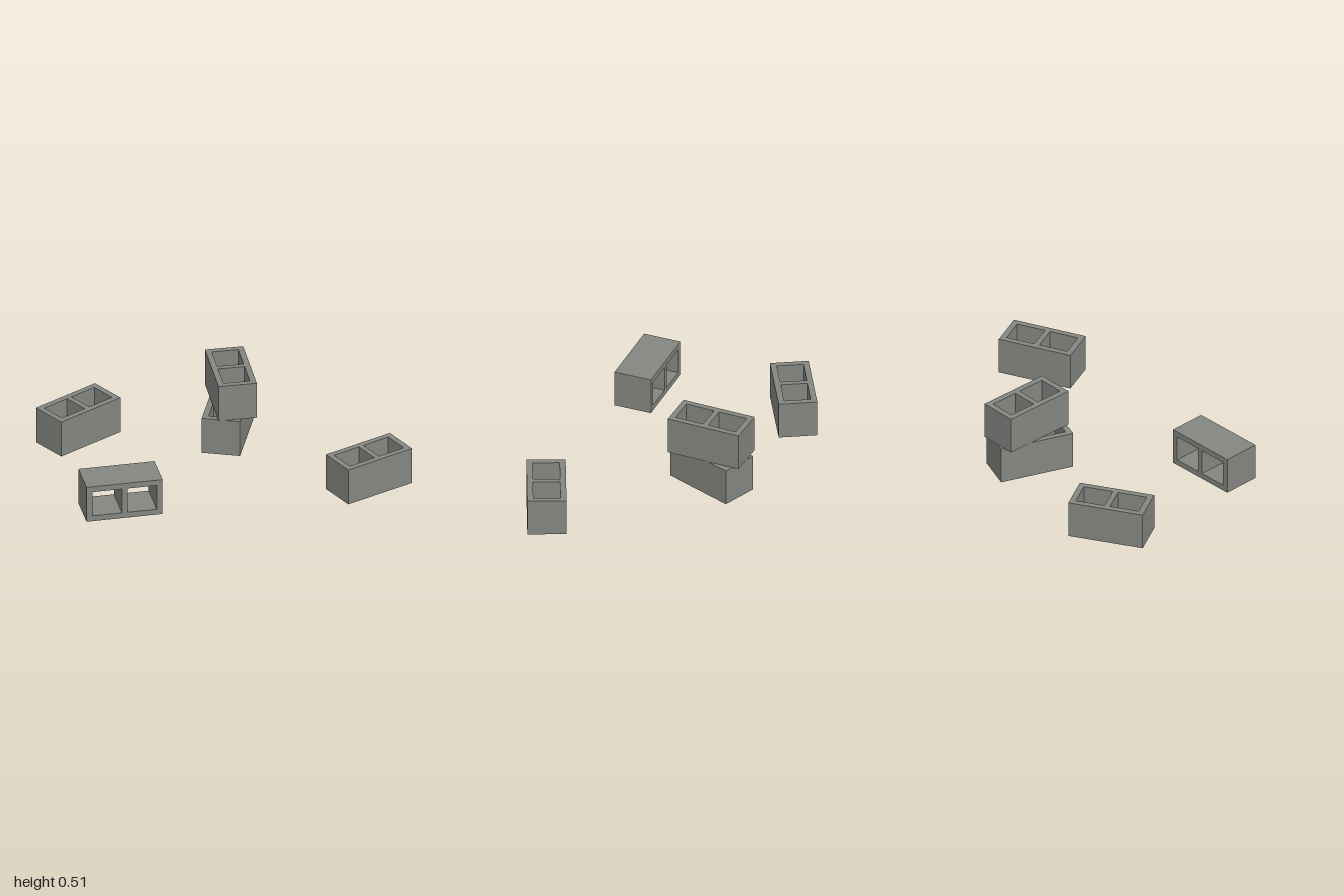
import * as THREE from 'three';

const WIDTH = 0.253, LENGTH = 0.503, WALL = 0.039, WEB = 0.036;

function rectangle(target, x0, y0, x1, y1) {
  target.moveTo(x0, y0);
  target.lineTo(x1, y0);
  target.lineTo(x1, y1);
  target.lineTo(x0, y1);
  target.closePath();
  return target;
}

// Hollow block, centred on the origin: length along z, two cells open along y
function blockGeometry() {
  const w = WIDTH / 2, l = LENGTH / 2;
  const shape = rectangle(new THREE.Shape(), -w, -l, w, l);
  shape.holes.push(
    rectangle(new THREE.Path(), -w + WALL, -l + WALL, w - WALL, -WEB / 2),
    rectangle(new THREE.Path(), -w + WALL, WEB / 2, w - WALL, l - WALL),
  );
  const geometry = new THREE.ExtrudeGeometry(shape, { depth: WIDTH, bevelEnabled: false });
  geometry.translate(0, 0, -WIDTH / 2);
  geometry.rotateX(-Math.PI / 2);
  return geometry;
}

export function createModel() {
  const model = new THREE.Group();
  model.name = 'concreteBlocks';
  const concrete = new THREE.MeshStandardMaterial({ color: 0x848681 });
  concrete.name = 'concreteGrey';
  const geometry = blockGeometry();

  // name, x, z, turn about y, level in the stack, roll onto its side
  const blocks = [
    ['leftmostBlock', -0.873, 0.28, 0, 0, 0],
    ['farBlock', 0.846, -0.719, -0.1, 0, 0],
    ['lowerStackedBlock', -0.256, -0.462, 0.687, 0, 0],
    ['upperStackedBlock', -0.25, -0.485, 1.036, 1, 0],
    ['blockOnItsSide', 0.031, 0.696, -0.5, 0, Math.PI / 2],
  ];
  for (const [name, x, z, turn, level, roll] of blocks) {
    const block = new THREE.Mesh(geometry, concrete);
    block.name = name;
    block.position.set(x, WIDTH * (level + 0.5), z);
    block.rotation.set(0, turn, roll, 'YXZ');
    model.add(block);
  }
  return model;
}
